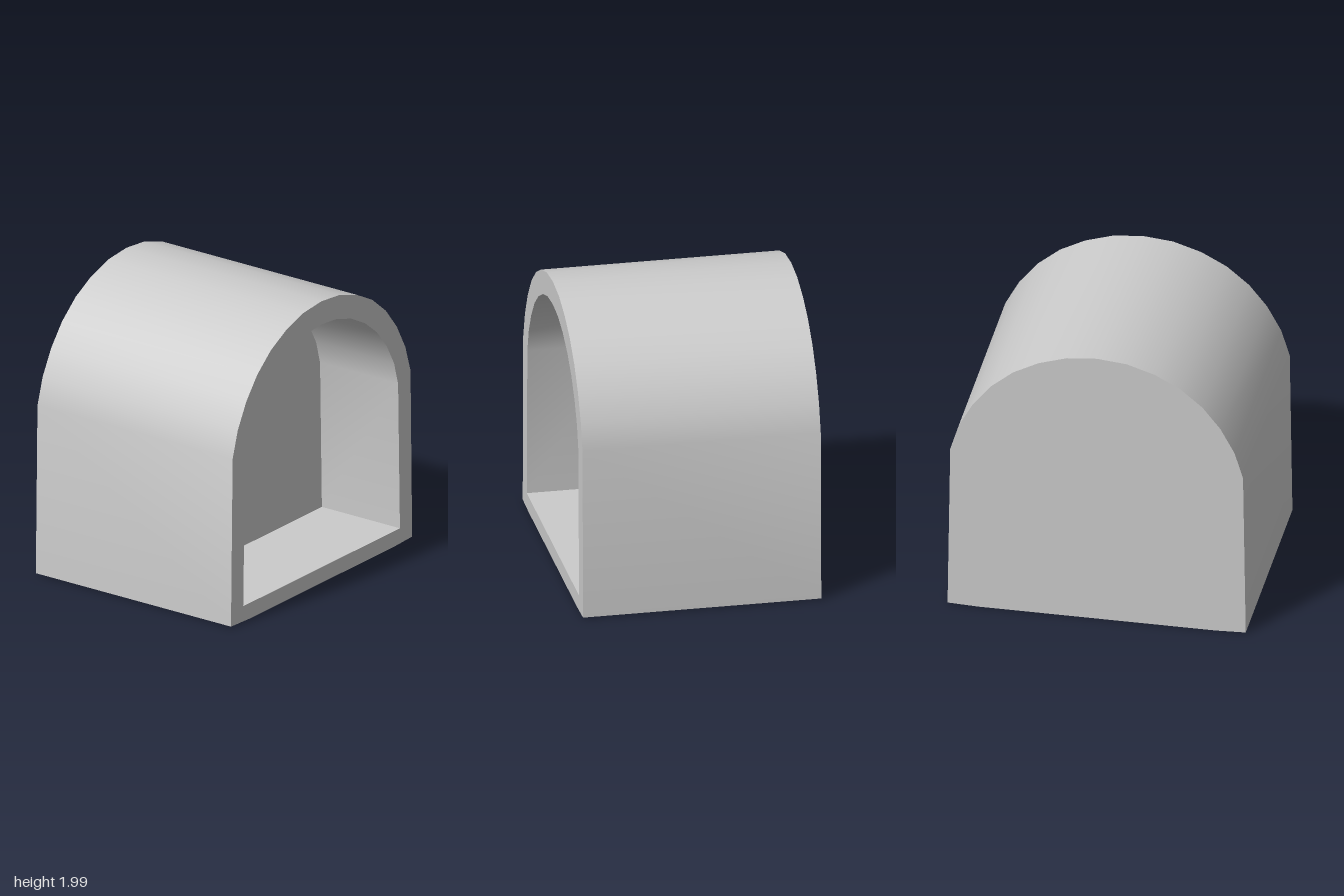
import * as THREE from 'three';
import { toCreasedNormals } from 'three/addons/utils/BufferGeometryUtils.js';

const FRONT = 0.8, BACK = -0.8, RECESS = 0.16;

// Half profiles as [z, y], from the base up to the crown
const OUTER = [[0.8, 0], [1, 0.008], [0.982, 1.19], [0.925, 1.375], [0.83, 1.55],
  [0.71, 1.7], [0.56, 1.825], [0.39, 1.915], [0.2, 1.975], [0, 1.994]];
const INNER = [[0.865, 0.11], [0.845, 1.14], [0.8, 1.3], [0.72, 1.445], [0.61, 1.58],
  [0.48, 1.685], [0.33, 1.765], [0.17, 1.815], [0, 1.83]];

// Mirror a half profile into a closed counter-clockwise loop
function loop(half) {
  const mirrored = half.slice(0, -1).reverse().map(([z, y]) => [-z, y]);
  return [...half, ...mirrored].map(([z, y]) => new THREE.Vector2(z, y));
}

// Wall swept along x around a loop; inward turns its faces to the inside
function wall(points, x0, x1, inward) {
  const pos = [];
  points.forEach((p, i) => {
    const q = points[(i + 1) % points.length];
    const a = [x0, p.y, -p.x], b = [x1, p.y, -p.x], c = [x1, q.y, -q.x], d = [x0, q.y, -q.x];
    const corners = inward ? [a, b, c, a, c, d] : [a, c, b, a, d, c];
    pos.push(...corners.flat());
  });
  const geo = new THREE.BufferGeometry();
  geo.setAttribute('position', new THREE.Float32BufferAttribute(pos, 3));
  return toCreasedNormals(geo, 0.6);
}

// Flat panel across x, facing +x or -x
function panel(points, x, dir, hole) {
  const shape = new THREE.Shape(points);
  if (hole) shape.holes.push(new THREE.Path(hole));
  return new THREE.ShapeGeometry(shape).rotateY(dir * Math.PI / 2).translate(x, 0, 0);
}

export function createModel() {
  const group = new THREE.Group();
  group.name = 'archedShelter';
  const material = new THREE.MeshStandardMaterial({ color: 0xcccccc });
  const add = (name, geometry) => {
    const mesh = new THREE.Mesh(geometry, material);
    mesh.name = name;
    group.add(mesh);
  };
  const outer = loop(OUTER), inner = loop(INNER);

  // Outside shell and closed end
  add('outerShell', wall(outer, BACK, FRONT, false));
  add('closedEnd', panel(outer, BACK, -1));

  // Open end with its recess
  add('openingRim', panel(outer, FRONT, 1, inner));
  add('recessWall', wall(inner, RECESS, FRONT, true));
  add('recessBack', panel(inner, RECESS, 1));
  return group;
}
